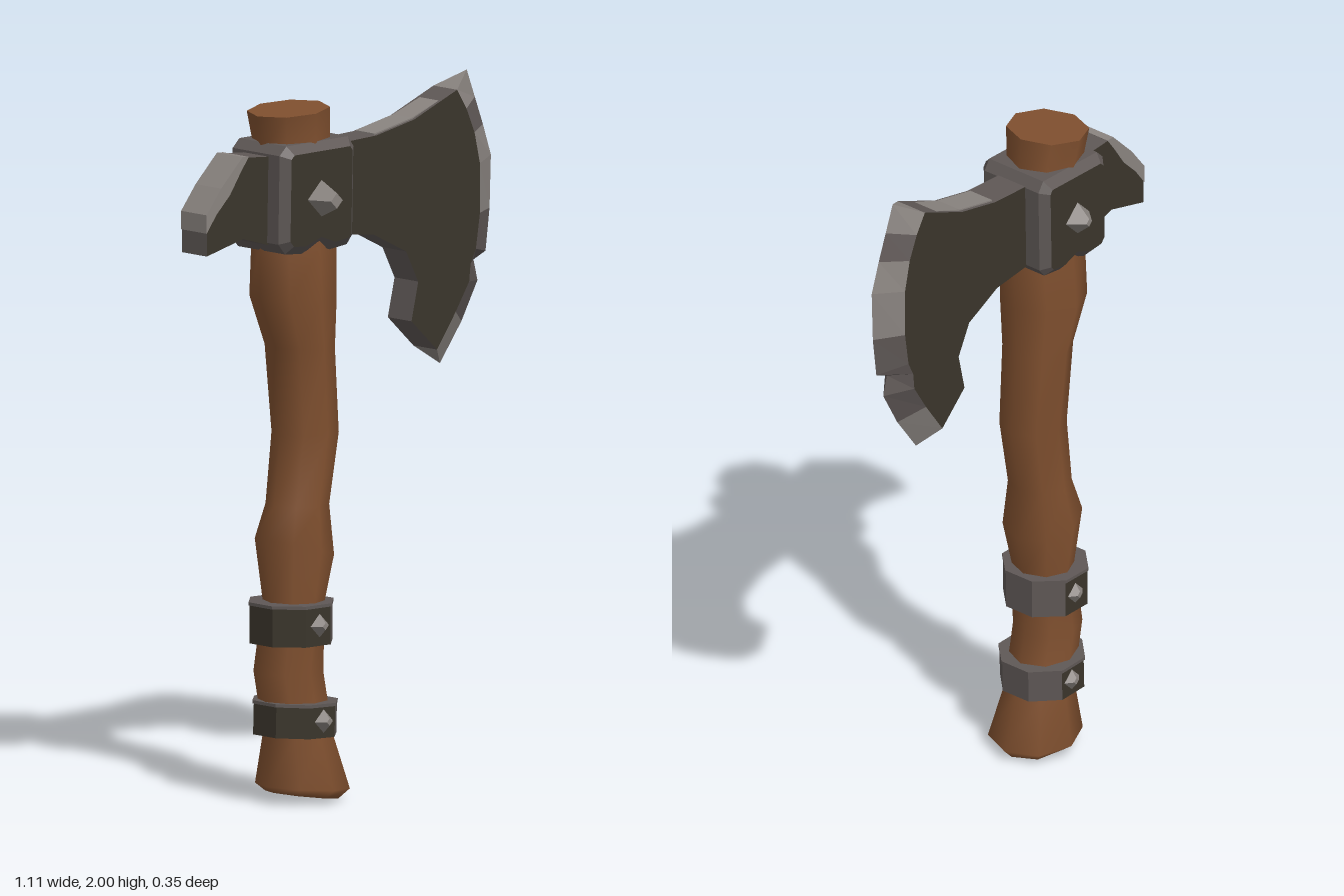
import * as THREE from 'three';

const mat = (name, color) => Object.assign(new THREE.MeshStandardMaterial({ color }), { name });

export function createModel() {
  const wood = mat('wood', 0x80502f);
  const dark = mat('dark iron', 0x3a352b);
  const grey = mat('worn iron', 0x5f5856);
  const light = mat('bright steel', 0x8a8480);
  const root = new THREE.Group();
  root.name = 'axe';
  const Z = -0.01; // middle plane of the head

  const add = (name, geo, material, x = 0, y = 0, z = 0) => {
    const m = new THREE.Mesh(geo, material);
    m.name = name;
    m.position.set(x, y, z);
    root.add(m);
    return m;
  };

  // Flat faces from polygons of 3 or 4 corners
  const faces = (polys) => {
    const pos = [];
    for (const p of polys) {
      for (let i = 1; i < p.length - 1; i++) pos.push(...p[0], ...p[i], ...p[i + 1]);
    }
    const g = new THREE.BufferGeometry();
    g.setAttribute('position', new THREE.Float32BufferAttribute(pos, 3));
    g.computeVertexNormals();
    return g;
  };

  // Flat plate of an outline, centred in depth
  const slab = (pts, depth, bevel = 0) => {
    const shape = new THREE.Shape(pts.map(([x, y]) => new THREE.Vector2(x, y)));
    const g = new THREE.ExtrudeGeometry(shape, {
      depth: depth - 2 * bevel, bevelEnabled: bevel > 0, bevelSize: bevel,
      bevelThickness: bevel, bevelOffset: -bevel, bevelSegments: 1,
    });
    return g.translate(0, 0, -depth / 2 + bevel);
  };

  // Handle: rings of [y left, y right, x left, x right, half depth]
  const rings = [
    [0.03, 0.0, -0.26, -0.05, 0.10],
    [0.05, 0.03, -0.285, -0.02, 0.133],
    [0.19, 0.19, -0.27, -0.07, 0.095],
    [0.37, 0.37, -0.305, -0.105, 0.095],
    [0.57, 0.57, -0.27, -0.10, 0.09],
    [0.75, 0.69, -0.29, -0.075, 0.115],
    [0.84, 0.84, -0.258, -0.085, 0.092],
    [1.04, 1.04, -0.235, -0.05, 0.096],
    [1.29, 1.28, -0.255, -0.07, 0.105],
    [1.43, 1.43, -0.31, -0.065, 0.122],
    [1.58, 1.58, -0.31, -0.06, 0.112],
    [1.85, 1.85, -0.305, -0.08, 0.10],
    [1.95, 1.97, -0.32, -0.09, 0.118],
  ];
  const N = 8;
  const ringPoint = ([yl, yr, xl, xr, d], j) => {
    const a = (j / N) * Math.PI * 2;
    const t = (1 + Math.cos(a)) / 2;
    return [xl + (xr - xl) * t, yl + (yr - yl) * t, Z - Math.sin(a) * d];
  };
  const pos = [], idx = [];
  rings.forEach((r, i) => {
    for (let j = 0; j < N; j++) {
      pos.push(...ringPoint(r, j));
      if (i === 0) continue;
      const k = (j + 1) % N, a = (i - 1) * N, b = i * N;
      idx.push(a + j, a + k, b + k, a + j, b + k, b + j);
    }
  });
  const shaft = new THREE.BufferGeometry();
  shaft.setAttribute('position', new THREE.Float32BufferAttribute(pos, 3));
  shaft.setIndex(idx);
  shaft.computeVertexNormals();
  add('handle', shaft, wood);
  const loop = (r) => Array.from({ length: N }, (_, j) => ringPoint(r, j));
  add('handleEnds', faces([loop(rings[rings.length - 1]), loop(rings[0]).reverse()]), wood);

  // Blade body
  const H = 0.05;
  const inner = [[0.38, 1.957], [0.415, 1.90], [0.445, 1.83], [0.465, 1.74], [0.465, 1.60], [0.45, 1.50],
    [0.43, 1.46], [0.425, 1.41], [0.375, 1.33], [0.305, 1.23]];
  const outer = [[0.46, 2.0], [0.49, 1.92], [0.52, 1.84], [0.55, 1.75], [0.545, 1.60], [0.53, 1.48],
    [0.485, 1.46], [0.50, 1.40], [0.44, 1.29], [0.36, 1.18]];
  const body = [[-0.1, 1.85], [0.08, 1.86], [0.22, 1.89], ...inner,
    [0.21, 1.32], [0.235, 1.43], [0.19, 1.52], [0.07, 1.58], [-0.1, 1.60]];
  add('blade', slab(body, 2 * H), [dark, grey], 0, 0, Z);

  // Sharpened edge, with brighter stretches
  const edge = { grey: [], light: [] };
  for (let i = 0; i < inner.length - 1; i++) {
    const list = [0, 2, 3, 8].includes(i) ? edge.light : edge.grey;
    const [a, b, c, d] = [inner[i], inner[i + 1], outer[i + 1], outer[i]];
    list.push([[...a, H], [...b, H], [...c, 0], [...d, 0]]);
    list.push([[...d, 0], [...c, 0], [...b, -H], [...a, -H]]);
  }
  const e = inner.length - 1;
  edge.light.push([[...inner[0], H], [...outer[0], 0], [...inner[0], -H]]);
  edge.light.push([[...inner[e], -H], [...outer[e], 0], [...inner[e], H]]);
  add('cuttingEdge', faces(edge.grey), grey, 0, 0, Z);
  add('cuttingEdgeShine', faces(edge.light), light, 0, 0, Z);

  // Worn strip along the top of the blade
  add('bladeTopWear', slab([[0.08, 1.855], [0.22, 1.885], [0.32, 1.925],
    [0.32, 1.932], [0.22, 1.894], [0.08, 1.864]], 0.08), light, 0, 0, Z);

  // Back spike and its worn corner
  add('backSpike', slab([[-0.28, 1.84], [-0.42, 1.85], [-0.50, 1.77], [-0.555, 1.70],
    [-0.555, 1.585], [-0.42, 1.62], [-0.28, 1.58]], 0.104), [dark, grey], 0, 0, Z);
  add('backSpikeWear', slab([[-0.40, 1.851], [-0.423, 1.853], [-0.503, 1.772], [-0.557, 1.702],
    [-0.557, 1.65], [-0.52, 1.70], [-0.47, 1.75], [-0.43, 1.81]], 0.108), light, 0, 0, Z);

  // Collar that clamps the head to the handle
  add('collar', slab([[-0.33, 1.60], [-0.305, 1.57], [-0.245, 1.565], [-0.19, 1.585], [-0.14, 1.567],
    [-0.075, 1.575], [-0.055, 1.60], [-0.05, 1.85], [-0.07, 1.88], [-0.30, 1.875], [-0.325, 1.85]],
  0.246, 0.024), [dark, grey], 0, 0, Z);

  // Diamond studs on front and back
  const stud = (name, x, y, z, side, r, tip, h) => {
    const g = new THREE.CylinderGeometry(tip, r, h, 4).toNonIndexed();
    g.rotateX(side * Math.PI / 2);
    g.computeVertexNormals();
    add(name, g, light, x, y, z + side * h / 2);
  };
  stud('collarStudFront', -0.19, 1.72, 0.108, 1, 0.054, 0.022, 0.07);
  stud('collarStudBack', -0.19, 1.72, -0.128, -1, 0.054, 0.012, 0.048);

  // Iron bands round the grip; the sides under the blade are worn
  const band = (x, y, h, rx, tilt) => {
    const g = new THREE.CylinderGeometry(1, 1, h, N, 1, false, -Math.PI / N).toNonIndexed();
    g.scale(rx / Math.cos(Math.PI / N), 1, 0.115 / Math.cos(Math.PI / N));
    g.computeVertexNormals();
    g.clearGroups();
    for (let i = 0; i < N; i++) g.addGroup(i * 6, 6, i >= 1 && i <= 3 ? 1 : 0);
    g.addGroup(N * 6, N * 6, 1);
    add('gripBand', g, [dark, grey], x, y, Z).rotation.z = tilt;
    // Thin worn rim
    const rim = new THREE.CylinderGeometry(1, 1, 0.009, N, 1, false, -Math.PI / N).toNonIndexed();
    rim.scale((rx + 0.003) / Math.cos(Math.PI / N), 1, 0.118 / Math.cos(Math.PI / N));
    rim.computeVertexNormals();
    add('gripBandRim', rim, grey, x, y + h / 2 - 0.003, Z).rotation.z = tilt;
    stud('bandStudFront', x + 0.005, y, 0.10, 1, 0.038, 0.01, 0.03);
    stud('bandStudBack', x + 0.005, y, -0.12, -1, 0.038, 0.01, 0.022);
  };
  band(-0.18, 0.238, 0.095, 0.113, -0.03);
  band(-0.195, 0.51, 0.115, 0.112, 0);

  return root;
}
